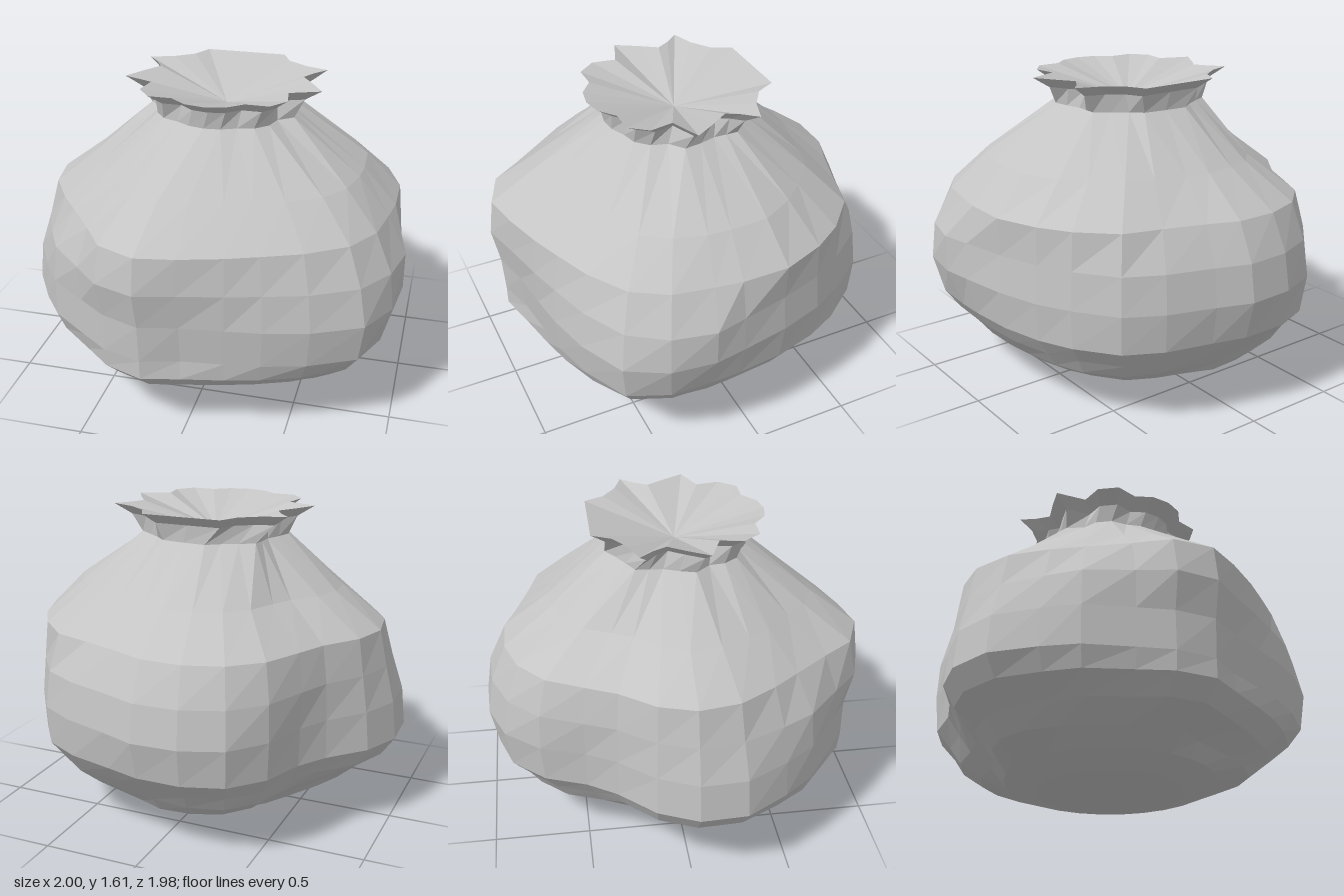
import * as THREE from 'three';

const N = 28;                 // columns, running from the back through +x, front and -x
const CX = 0.02, CZ = 0.03;   // axis of the sack

// widest outline of the lumpy body, seen from above (x, z)
const outline = [
  [0.02, -1], [0.2, -0.93], [0.44, -0.85], [0.63, -0.75], [0.78, -0.55], [0.87, -0.38], [0.94, -0.15],
  [0.98, 0.1], [1, 0.26], [0.97, 0.49], [0.86, 0.69], [0.62, 0.81], [0.4, 0.87], [0.22, 0.9],
  [0, 0.93], [-0.2, 0.985], [-0.41, 0.92], [-0.56, 0.8], [-0.76, 0.64], [-0.87, 0.48], [-0.99, 0.26],
  [-1, 0.02], [-0.91, -0.18], [-0.75, -0.36], [-0.66, -0.51], [-0.58, -0.73], [-0.43, -0.9], [-0.22, -0.985],
];

// half of the scalloped rim, mirrored across the axis
const rimHalf = [
  [0.02, -0.41], [0.23, -0.41], [0.28, -0.31], [0.38, -0.24], [0.5, -0.2], [0.44, -0.13], [0.4, -0.06], [0.46, 0.03],
  [0.525, 0.14], [0.37, 0.2], [0.39, 0.32], [0.32, 0.41], [0.2, 0.41], [0.12, 0.475], [0.02, 0.495],
];
const rim = [...rimHalf, ...rimHalf.slice(1, -1).reverse().map(([x, z]) => [2 * CX - x, z])];

// height, then the swelling at every second column
const bulges = [
  [0.165, ...Array(14).fill(0.7)],
  [0.25, 0.77, 0.82, 0.84, 0.81, 0.79, 0.80, 0.84, 0.88, 0.86, 0.83, 0.80, 0.80, 0.83, 0.82],
  [0.34, 0.85, 0.90, 0.90, 0.89, 0.86, 0.90, 0.94, 0.97, 0.95, 0.94, 0.93, 0.93, 0.90, 0.88],
  [0.44, 0.94, 0.98, 0.98, 0.96, 0.93, 0.97, 0.97, 0.96, 0.96, 0.98, 1.00, 1.00, 0.98, 0.97],
  [0.64, 0.99, 1.00, 0.99, 0.99, 1.00, 1.00, 0.99, 0.98, 0.96, 0.98, 0.98, 0.98, 0.99, 1.00],
  [0.83, 0.96, 0.97, 0.97, 0.97, 1.00, 0.96, 0.97, 1.01, 1.00, 0.96, 0.92, 0.95, 1.00, 0.97],
  [1.02, 0.87, 0.87, 0.95, 0.98, 0.90, 0.88, 0.93, 1.00, 0.96, 0.85, 0.87, 0.92, 0.96, 0.90],
  [1.20, 0.63, 0.66, 0.72, 0.79, 0.74, 0.70, 0.72, 0.76, 0.71, 0.66, 0.65, 0.66, 0.67, 0.64],
];

const circleRing = (r, y) => Array.from({ length: N }, (_, i) => {
  const a = (i / N) * Math.PI * 2;
  return [CX + r * Math.sin(a), y, CZ - r * Math.cos(a)];
});

const bulgeRing = ([y, ...s]) => outline.map(([x, z], i) => {
  const k = Math.floor(i / 2);
  const f = THREE.MathUtils.lerp(s[k], s[(k + 1) % s.length], i / 2 - k);
  return [x * f, y, z * f];
});

// scalloped ring, scaled and twisted by a number of columns
const rimRing = (scale, y, twist = 0) => rim.map(([x, z]) => {
  const a = (twist / N) * Math.PI * 2, dx = (x - CX) * scale, dz = (z - CZ) * scale;
  return [CX + dx * Math.cos(a) - dz * Math.sin(a), y, CZ + dx * Math.sin(a) + dz * Math.cos(a)];
});

const mixRings = (a, b, t) => a.map((p, i) => p.map((v, k) => THREE.MathUtils.lerp(v, b[i][k], t)));

// skin a stack of rings from bottom to top
function loft(rings) {
  const pos = [], idx = [];
  rings.forEach((ring) => ring.forEach((p) => pos.push(...p)));
  for (let j = 0; j < rings.length - 1; j++) {
    for (let i = 0; i < N; i++) {
      const n = (i + 1) % N, lo = j * N, hi = lo + N;
      idx.push(lo + n, lo + i, hi + i, lo + n, hi + i, hi + n);
    }
  }
  const g = new THREE.BufferGeometry();
  g.setAttribute('position', new THREE.Float32BufferAttribute(pos, 3));
  g.setIndex(idx);
  const flat = g.toNonIndexed();
  flat.computeVertexNormals();
  return flat;
}

export function createModel() {
  const group = new THREE.Group();
  group.name = 'sack';
  const cloth = new THREE.MeshStandardMaterial({ color: 0xc4c4c4, side: THREE.DoubleSide });
  cloth.name = 'grey cloth';
  const add = (name, rings) => {
    const mesh = new THREE.Mesh(loft(rings), cloth);
    mesh.name = name;
    group.add(mesh);
  };

  const neckBase = mixRings(circleRing(0.37, 1.46), rimRing(0.8, 1.46, 0.7), 0.45);
  const neckTop = rimRing(0.83, 1.55);
  const rimEdge = rimRing(1, 1.605);

  // rounded underside and lumpy body
  add('body', [
    circleRing(0, 0), circleRing(0.2, 0.013), circleRing(0.38, 0.05), circleRing(0.55, 0.1),
    ...bulges.map(bulgeRing), neckBase,
  ]);
  // gathered neck
  add('neck', [neckBase, neckTop]);
  // flared, pleated mouth
  add('rimFlare', [neckTop, rimEdge]);
  // pleated top dipping to the middle
  add('mouth', [rimEdge, circleRing(0, 1.47)]);
  return group;
}
